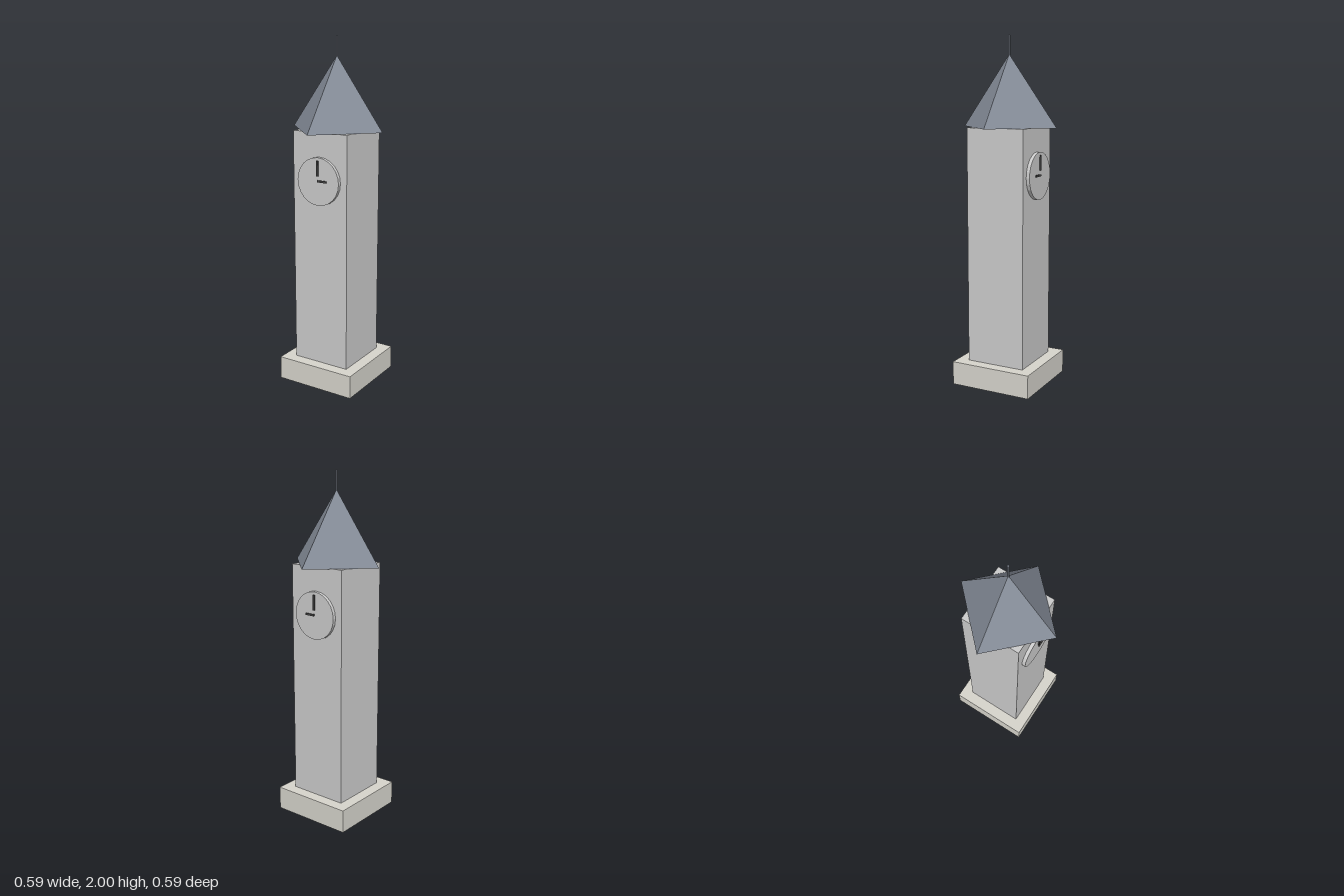
import * as THREE from 'three';

const material = (color) => new THREE.MeshStandardMaterial({ color, flatShading: true });

export function createModel() {
  const model = new THREE.Group();
  model.name = 'clockTower';

  const stone = material(0xcccccc);
  const plinthStone = material(0xd6d4cc);
  const slate = material(0x858c98);
  const dark = material(0x444444);

  function add(parent, name, geometry, mat, x, y, z) {
    const mesh = new THREE.Mesh(geometry, mat);
    mesh.name = name;
    mesh.position.set(x, y, z);
    parent.add(mesh);
    return mesh;
  }

  // Plinth and square shaft
  add(model, 'base', new THREE.BoxGeometry(0.485, 0.135, 0.485), plinthStone, 0, 0.0675, 0);
  add(model, 'shaft', new THREE.BoxGeometry(0.35, 1.355, 0.35), stone, 0, 0.8125, 0);

  // Pyramid roof, its corners over the middles of the shaft sides
  add(model, 'roof', new THREE.ConeGeometry(0.294, 0.405, 4), slate, 0, 1.6925, 0);
  add(model, 'finial', new THREE.CylinderGeometry(0.006, 0.006, 0.11, 8), slate, 0, 1.945, 0);

  // Clocks on the front and back, mirrored in depth
  for (const side of [1, -1]) {
    const clock = new THREE.Group();
    clock.name = side > 0 ? 'frontClock' : 'backClock';
    clock.position.set(0, 1.221, side * 0.185);
    const face = new THREE.CylinderGeometry(0.135, 0.135, 0.02, 24).rotateX(Math.PI / 2);
    add(clock, 'clockFace', face, stone, 0, 0, 0);
    add(clock, 'minuteHand', new THREE.BoxGeometry(0.011, 0.086, 0.008), dark, 0, 0.075, side * 0.013);
    add(clock, 'hourHand', new THREE.BoxGeometry(0.06, 0.011, 0.008), dark, 0.029, 0.004, side * 0.013);
    model.add(clock);
  }

  return model;
}
